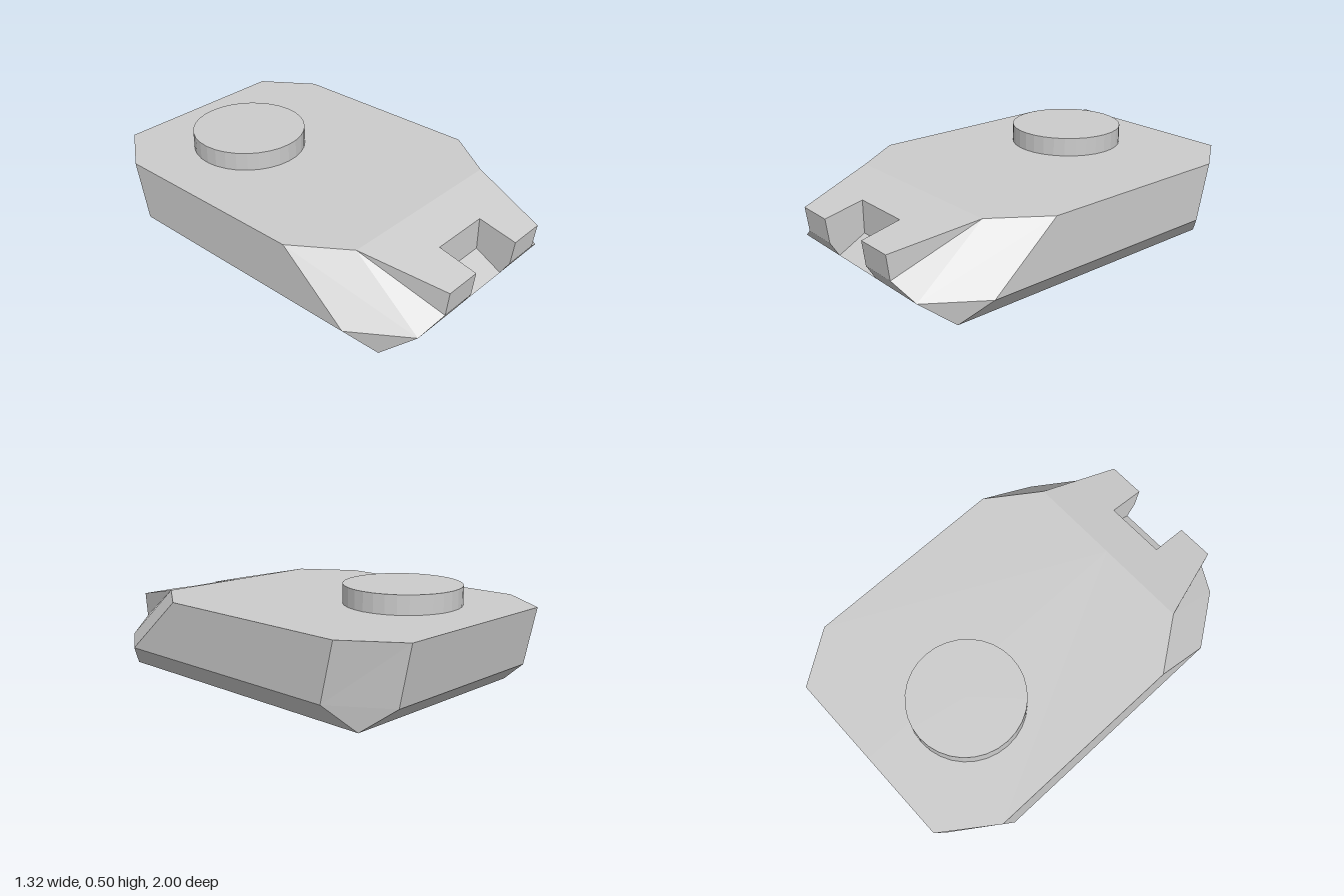
import * as THREE from 'three';

const material = new THREE.MeshStandardMaterial({ color: 0xcccccc, flatShading: true });

// Flat-faceted mesh from polygons of the +x half, mirrored to -x.
function mirroredMesh(name, faces) {
  const pos = [];
  const tri = (a, b, c) => {
    const [A, B, C] = [a, b, c].map((p) => new THREE.Vector3(...p));
    if (B.clone().sub(A).cross(C.clone().sub(A)).length() < 1e-6) return;
    pos.push(...a, ...b, ...c);
  };
  const flip = ([x, y, z]) => [-x, y, z];
  for (const f of faces) {
    for (let i = 1; i < f.length - 1; i++) {
      tri(f[0], f[i], f[i + 1]);
      tri(flip(f[0]), flip(f[i + 1]), flip(f[i]));
    }
  }
  const geo = new THREE.BufferGeometry();
  geo.setAttribute('position', new THREE.Float32BufferAttribute(pos, 3));
  geo.computeVertexNormals();
  const mesh = new THREE.Mesh(geo, material);
  mesh.name = name;
  return mesh;
}

export function createModel() {
  const model = new THREE.Group();
  model.name = 'armouredHull';

  // Half outlines (x, z) from front to back at three heights
  const ring = (y, pts) => pts.map(([x, z]) => [x, y, z]);
  const top = ring(0.41, [[0.475, 0.585], [0.66, 0.32], [0.66, -0.74], [0.475, -1], [0, -1]]);
  const waist = ring(0.12, [[0.475, 0.94], [0.66, 0.67], [0.66, -0.67], [0.475, -0.94], [0, -0.94]]);
  const keel = ring(0, [[0.555, 0.79], [0.555, 0.79], [0.555, -0.79], [0.555, -0.79], [0, -0.79]]);

  const bands = [];
  for (const [low, high] of [[keel, waist], [waist, top]]) {
    for (let i = 0; i < 4; i++) bands.push([low[i], low[i + 1], high[i + 1], high[i]]);
  }
  const deckFront = [0, 0.41, 0.585];
  model.add(mirroredMesh('hull', [
    ...bands,
    [deckFront, ...top],
    [keel[4], keel[2], keel[0], [0, 0, 0.79]],
    [[0, 0, 0.79], keel[0], waist[0], [0, 0.12, 0.94]],
  ]));

  // Sloped nose with its cheeks, lip and central notch
  const lipTop = [0.35, 0.32, 1], lipLow = [0.35, 0.195, 0.985];
  const n = 0.157; // notch half width
  const cutTop = [n, 0.32, 1], cutLow = [n, 0.195, 0.985], cutBase = [n, 0.12, 0.94];
  const backTop = [n, 0.363, 0.8], backLow = [n, 0.195, 0.8];
  model.add(mirroredMesh('nose', [
    [backTop, cutTop, lipTop, top[0], deckFront, [0, 0.363, 0.8]],
    [lipLow, waist[0], top[0], lipTop],
    [cutLow, lipLow, lipTop, cutTop],
    [cutBase, waist[0], lipLow, cutLow],
  ]));
  model.add(mirroredMesh('noseNotch', [
    [backLow, cutBase, cutLow, cutTop, backTop],
    [[0, 0.195, 0.8], [0, 0.12, 0.94], cutBase, backLow],
    [[0, 0.195, 0.8], backLow, backTop, [0, 0.363, 0.8]],
  ]));

  // Offset round turret base on the deck
  const turret = new THREE.Mesh(new THREE.CylinderGeometry(0.291, 0.291, 0.095, 32), material);
  turret.name = 'turretRing';
  turret.position.set(-0.115, 0.4575, -0.475);
  model.add(turret);

  return model;
}
